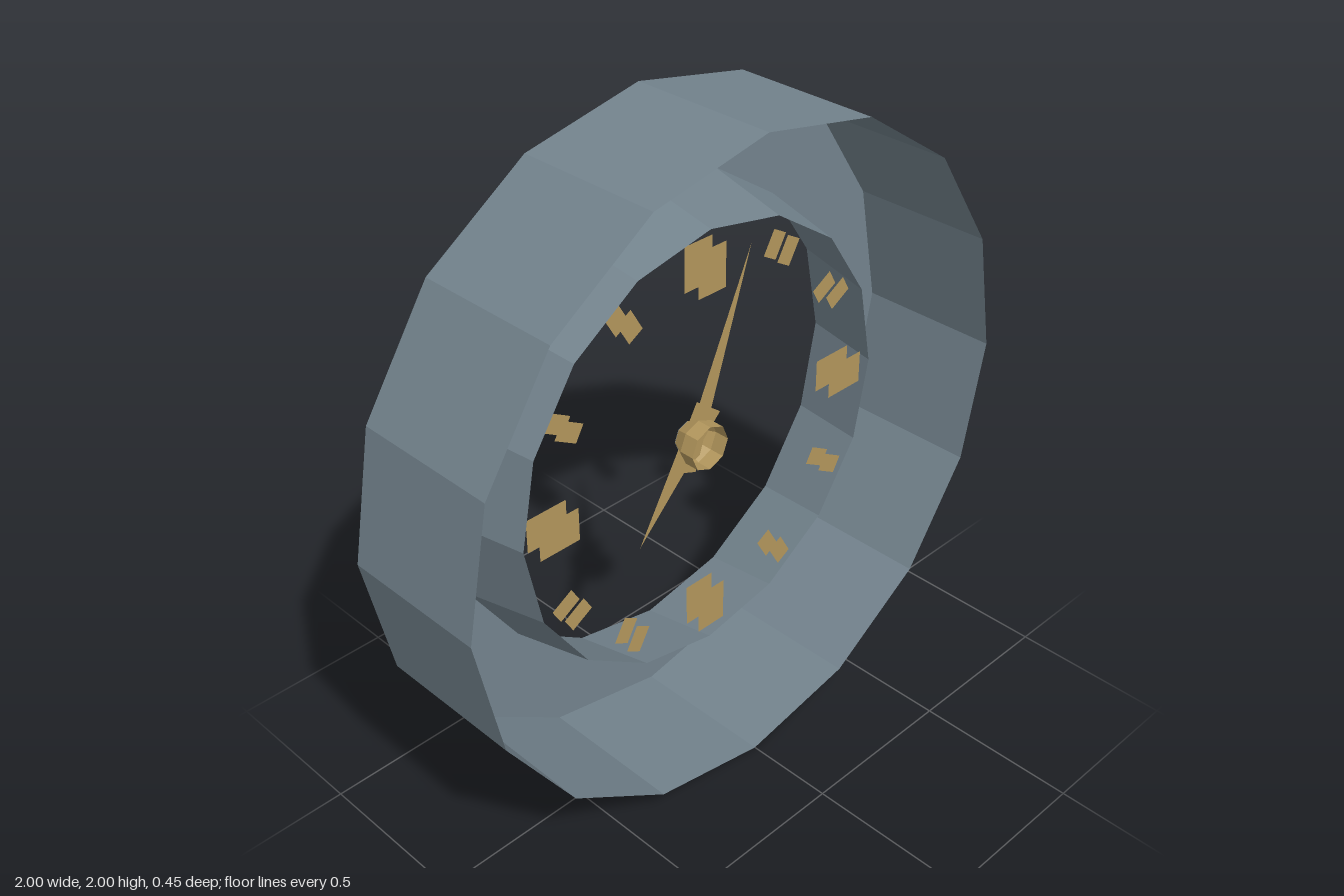
import * as THREE from 'three';

const SIDES = 16, DEPTH = 0.454, BACK = -DEPTH / 2;

function paint(name, color) {
  const m = new THREE.MeshStandardMaterial({ color, flatShading: true, side: THREE.DoubleSide });
  m.name = name;
  return m;
}

// Open faceted sleeve along z, from radius r0 at z0 to r1 at z1
function sleeve(r0, z0, r1, z1, sides) {
  return new THREE.CylinderGeometry(r1, r0, z1 - z0, sides, 1, true)
    .rotateX(Math.PI / 2)
    .translate(0, 0, (z0 + z1) / 2);
}

// Tapered hand pointing up, with a square tail behind the pivot
function handGeometry(length, tail, width) {
  const s = new THREE.Shape();
  s.moveTo(-width / 2, -tail);
  s.lineTo(width / 2, -tail);
  s.lineTo(0, length);
  s.closePath();
  return new THREE.ShapeGeometry(s);
}

export function createModel() {
  const steel = paint('slate grey', 0x73838d);
  const gold = paint('dull gold', 0xb2965c);
  const capGrey = paint('light slate', 0x8292a4);

  const clock = new THREE.Group();
  clock.name = 'wallClock';
  const body = new THREE.Group();
  body.name = 'clockBody';
  body.position.y = 1;
  clock.add(body);

  const add = (name, geometry, material, parent = body) => {
    const mesh = new THREE.Mesh(geometry, material);
    mesh.name = name;
    parent.add(mesh);
    return mesh;
  };

  // Case: outer wall open to the front, back annulus, tapered inner collar
  add('outerWall', sleeve(1, BACK, 1, -BACK, SIDES), steel);
  add('backPlate', new THREE.RingGeometry(0.728, 1, SIDES).translate(0, 0, BACK), steel);
  add('innerCollar', sleeve(0.728, BACK, 0.675, 0.033, SIDES), steel);

  // Hour markers: a pair of plates each, larger at the quarters
  for (let i = 0; i < 12; i++) {
    const big = i % 3 === 0;
    const marker = new THREE.Group();
    marker.name = big ? 'quarterMarker' : 'hourMarker';
    marker.rotation.z = -i * Math.PI / 6;
    for (const z of [0.038, -0.012]) {
      const g = new THREE.PlaneGeometry(big ? 0.103 : 0.055, big ? 0.136 : 0.08);
      add('markerPlate', g.translate(0, big ? 0.558 : 0.587, z), gold, marker);
    }
    body.add(marker);
  }

  // Hands
  const minute = add('minuteHand', handGeometry(0.58, 0.1, 0.08), gold);
  minute.position.z = -0.025;
  minute.rotation.z = -Math.atan2(0.215, 0.54);
  const hour = add('hourHand', handGeometry(0.343, 0.1, 0.117), gold);
  hour.position.z = -0.035;
  hour.rotation.z = -Math.atan2(-0.21, -0.27);

  // Hub: open octagonal cup with a grey cap on the back
  add('hubWall', sleeve(0.07, -0.014, 0.07, 0.033, 8), gold);
  add('hubTaper', sleeve(0.049, -0.057, 0.07, -0.014, 8), gold);
  add('hubFloor', new THREE.CircleGeometry(0.049, 8).translate(0, 0, -0.055), gold);
  add('hubCap', new THREE.CircleGeometry(0.049, 8).translate(0, 0, -0.058), capGrey);

  return clock;
}
